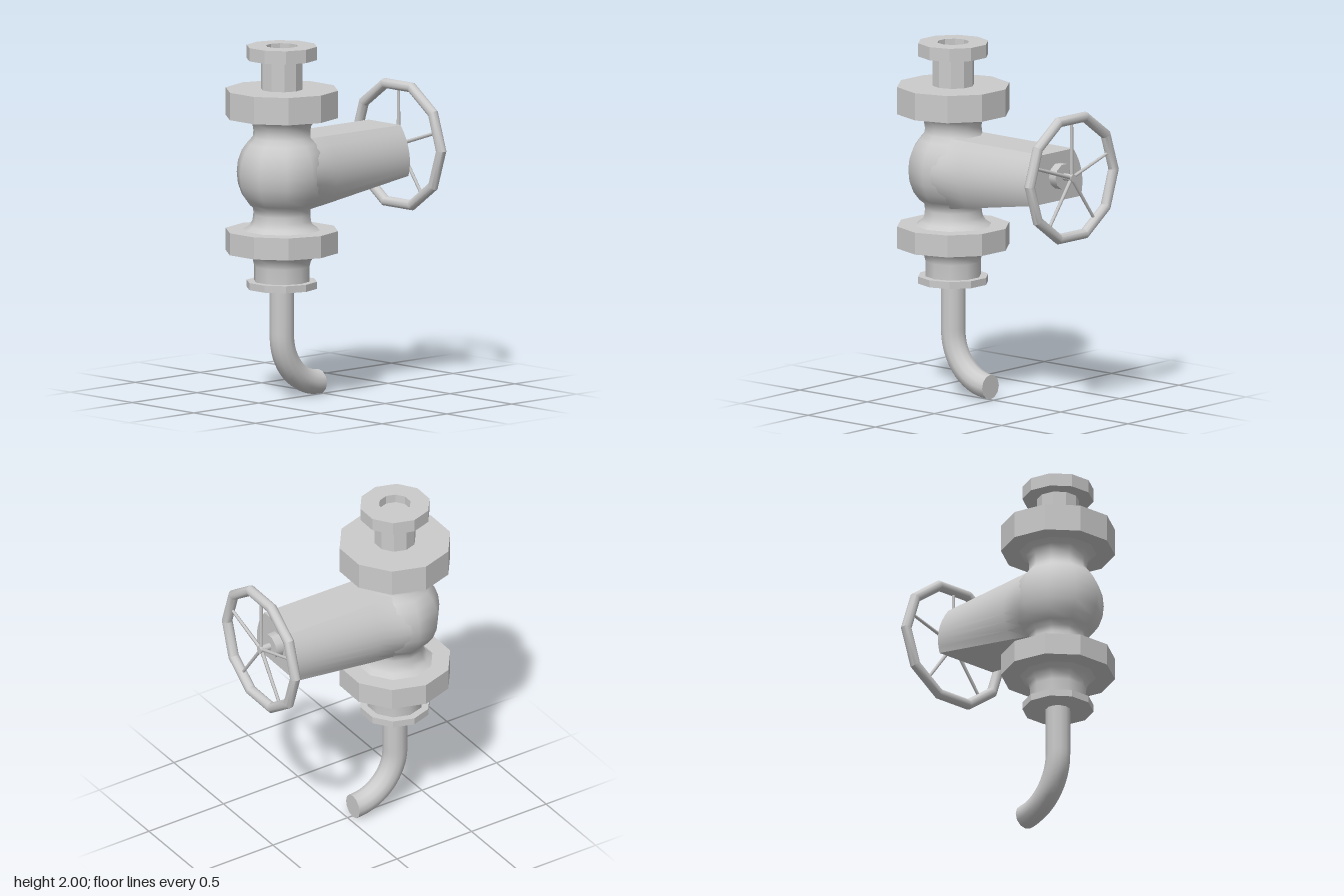
import * as THREE from 'three';
import { toCreasedNormals } from 'three/addons/utils/BufferGeometryUtils.js';

const SIDES = 10;
const material = new THREE.MeshStandardMaterial({ color: 0xcccccc });

function addMesh(parent, name, geometry) {
  const mesh = new THREE.Mesh(geometry, material);
  mesh.name = name;
  parent.add(mesh);
  return mesh;
}

// Ten-sided turned part; profile runs bottom to top as [radius, y]
function turned(profile, smooth = false) {
  const geometry = new THREE.LatheGeometry(profile.map(([r, y]) => new THREE.Vector2(r, y)), SIDES);
  return smooth ? geometry : toCreasedNormals(geometry, 0.5);
}

const disc = (r, y0, y1) => turned([[0, y0], [r, y0], [r, y1], [0, y1]]);

// Round rod along +x from x0 to x1
function rod(r, x0, x1, sides = SIDES) {
  return new THREE.CylinderGeometry(r, r, x1 - x0, sides).rotateZ(-Math.PI / 2).translate((x0 + x1) / 2, 0, 0);
}

// Bonnet: bulged sides, flat top, underside cut on a slope
function bonnetGeometry() {
  const top = 1.48, mid = 1.28, steps = 8;
  // x, bottom height, half width at the middle
  const sections = [[0, 1.08, 0.25], [0.1, 1.08, 0.235], [0.23, 1.103, 0.207], [0.785, 1.2, 0.207]];
  const positions = [], index = [], n = 2 * (steps + 1);
  for (const [x, bottom, half] of sections) {
    const side = [];
    for (let i = 0; i <= steps; i++) {
      const y = top + (bottom - top) * i / steps;
      side.push([y, 0.13 + (half - 0.13) * (1 - ((y - mid) / 0.2) ** 2)]);
    }
    side.forEach(([y, z]) => positions.push(x, y, z));
    side.reverse().forEach(([y, z]) => positions.push(x, y, -z));
  }
  for (let s = 0; s < sections.length - 1; s++) {
    for (let j = 0; j < n; j++) {
      const a = s * n + j, b = s * n + (j + 1) % n;
      index.push(a, b, b + n, a, b + n, a + n);
    }
  }
  const last = (sections.length - 1) * n;
  for (let j = 1; j < n - 1; j++) index.push(last, last + j, last + j + 1);
  const geometry = new THREE.BufferGeometry();
  geometry.setAttribute('position', new THREE.Float32BufferAttribute(positions, 3));
  geometry.setIndex(index);
  return toCreasedNormals(geometry, 0.5);
}

// Spout: straight drop followed by a quarter bend
function addSpout(parent) {
  const v = (x, y) => new THREE.Vector3(x, y, 0);
  const path = new THREE.CurvePath();
  path.add(new THREE.LineCurve3(v(0, 0.65), v(0, 0.36)));
  path.add(new THREE.CubicBezierCurve3(v(0, 0.36), v(0, 0.2), v(0.125, 0.07), v(0.28, 0.07)));
  addMesh(parent, 'spout', new THREE.TubeGeometry(path, 24, 0.07, 12));
  addMesh(parent, 'spoutEnd', new THREE.CircleGeometry(0.07, 12).rotateY(Math.PI / 2).translate(0.28, 0.07, 0));
}

// Handwheel: faceted rim, five spokes and a hub
function addHandwheel(parent) {
  const wheel = new THREE.Group();
  wheel.name = 'handwheel';
  wheel.position.set(0.89, 1.345, 0);
  parent.add(wheel);
  const rim = new THREE.TorusGeometry(0.35, 0.03, 12, SIDES).rotateY(Math.PI / 2);
  addMesh(wheel, 'rim', toCreasedNormals(rim, 0.58));
  for (let i = 0; i < 5; i++) {
    const spoke = new THREE.CylinderGeometry(0.009, 0.011, 0.335, 6).translate(0, 0.1675, 0);
    addMesh(wheel, 'spoke', spoke).rotation.x = i * Math.PI * 2 / 5;
  }
  addMesh(wheel, 'hub', rod(0.022, -0.015, 0.015));
}

export function createModel() {
  const group = new THREE.Group();
  group.name = 'valve';
  const valve = new THREE.Group();
  valve.name = 'valveAssembly';
  valve.position.set(-0.31, 0, -0.012);
  valve.rotation.y = -0.012;
  group.add(valve);

  // Inlet fitting with a shallow bore
  addMesh(valve, 'inlet', turned([
    [0.118, 1.74], [0.118, 1.925], [0.2, 1.925], [0.2, 2], [0.09, 2], [0.09, 1.95], [0, 1.95],
  ]));

  // Large and small flanges
  addMesh(valve, 'upperFlange', disc(0.32, 1.6, 1.755));
  addMesh(valve, 'lowerFlange', disc(0.32, 0.835, 0.96));
  addMesh(valve, 'outletFlange', disc(0.2, 0.63, 0.67));

  // Rounded valve body with flared necks
  addMesh(valve, 'body', turned([
    [0.225, 0.955], [0.185, 0.98], [0.167, 1.01], [0.162, 1.05], [0.164, 1.085],
    [0.195, 1.11], [0.228, 1.155], [0.25, 1.215], [0.257, 1.28], [0.25, 1.345],
    [0.228, 1.405], [0.195, 1.45], [0.164, 1.485], [0.162, 1.52], [0.167, 1.55],
    [0.185, 1.58], [0.225, 1.605],
  ], true));
  addMesh(valve, 'outletNeck', turned([
    [0.158, 0.66], [0.158, 0.755], [0.165, 0.785], [0.185, 0.815], [0.22, 0.84],
  ], true));

  addMesh(valve, 'bonnet', bonnetGeometry());
  addMesh(valve, 'stemCollar', rod(0.073, 0.78, 0.835)).position.y = 1.345;
  addMesh(valve, 'stem', rod(0.02, 0.82, 0.89)).position.y = 1.345;
  addHandwheel(valve);
  addSpout(valve);
  return group;
}
